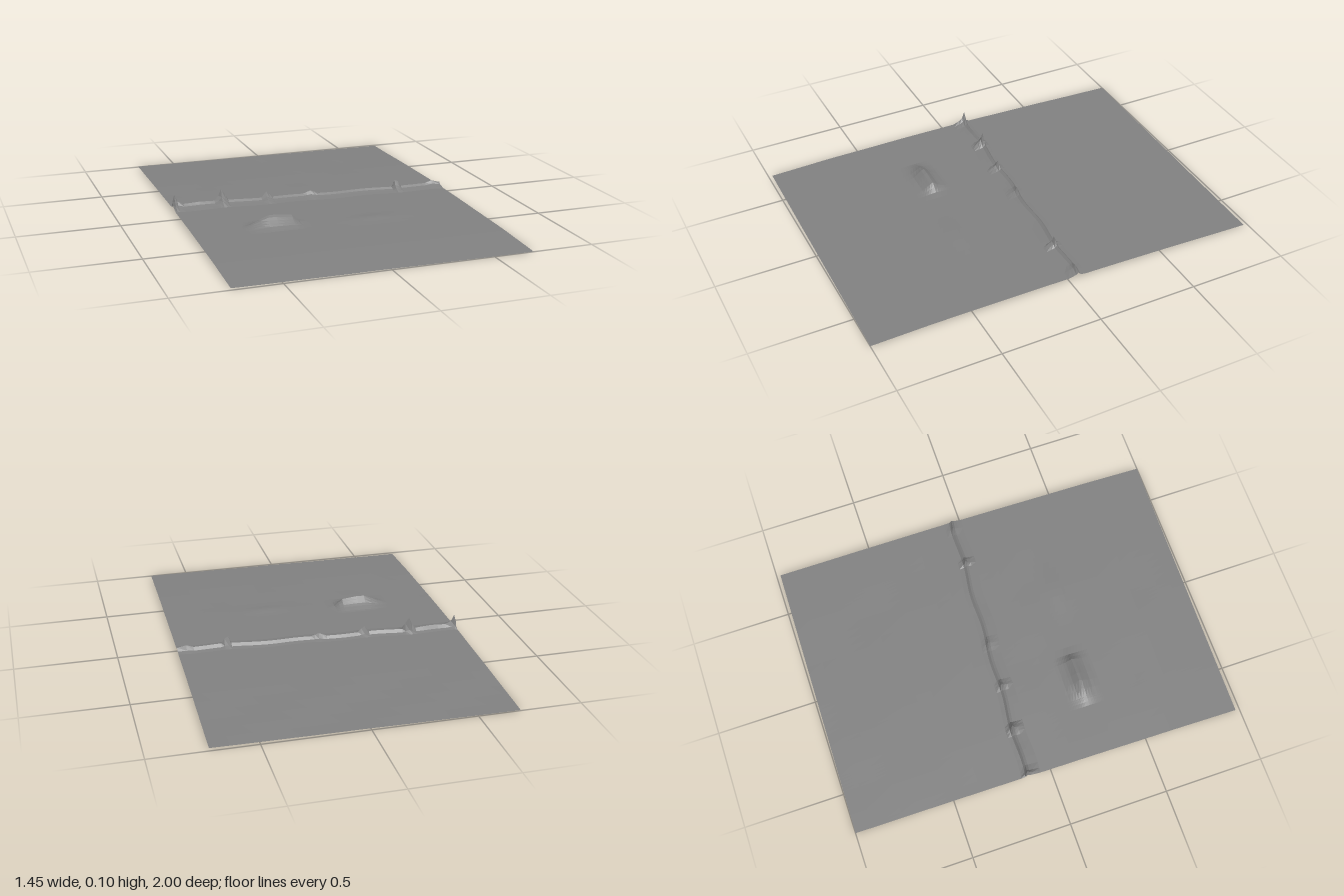
import * as THREE from 'three';

// Piecewise-linear curve through [position, value] points
function lerpAt(points, t) {
  if (t <= points[0][0]) return points[0][1];
  for (let i = 1; i < points.length; i++) {
    const [x0, y0] = points[i - 1], [x1, y1] = points[i];
    if (t <= x1) return y0 + (y1 - y0) * (t - x0) / (x1 - x0);
  }
  return points[points.length - 1][1];
}

// Gentle crown of the whole sheet, from back to front
const crown = [[-1, 0.007], [-0.5, 0.02], [-0.1, 0.026], [0, 0.025], [0.3, 0.023], [0.7, 0.017], [1, 0.005]];
// Height of the ridge crest from side to side, with its spikes
const crest = [[-0.715, 0.06], [-0.705, 0.097], [-0.69, 0.062], [-0.66, 0.046], [-0.58, 0.05], [-0.5, 0.046],
  [-0.48, 0.07], [-0.465, 0.105], [-0.445, 0.075], [-0.43, 0.045], [-0.26, 0.044], [-0.235, 0.075], [-0.2, 0.044],
  [-0.04, 0.043], [0, 0.058], [0.04, 0.043], [0.44, 0.043], [0.455, 0.079], [0.475, 0.07], [0.49, 0.045],
  [0.63, 0.044], [0.665, 0.056], [0.71, 0.045]];
// Share of the crest height across the ridge
const ridgeSection = [[-0.035, 0], [-0.012, 0.2], [0, 1], [0.012, 0.5], [0.03, 0.28], [0.06, 0]];
// Mound outline, lengthways and across
const moundCrest = [[-0.46, 0], [-0.41, 0.02], [-0.35, 0.052], [-0.3, 0.052], [-0.22, 0.042], [-0.18, 0.005], [-0.15, 0]];
const moundSection = [[0.205, 0], [0.25, 0.35], [0.285, 1], [0.31, 0.62], [0.34, 0.2], [0.38, 0]];
const RIDGE = -0.083;

function height(x, z, s) {
  const ridge = (lerpAt(crest, x) - 0.026) * lerpAt(ridgeSection, s - RIDGE);
  const mound = lerpAt(moundCrest, x) * lerpAt(moundSection, z);
  const swell = 0.006 * Math.exp(-(((x - 0.18) / 0.12) ** 2) - ((z - 0.34) / 0.05) ** 2);
  const ripple = 0.0006 * Math.sin(x * 13 + z * 5) * Math.sin(z * 11 - x * 4);
  return lerpAt(crown, s) + ridge + mound + swell + ripple;
}

export function createModel() {
  const group = new THREE.Group();
  group.name = 'terrain';
  const ground = new THREE.MeshStandardMaterial({ color: 0x808080, side: THREE.DoubleSide, flatShading: true });
  ground.name = 'ground grey';

  // Rows from back to front, closer together at the ridge and the mound
  const rows = [];
  for (let s = -0.99; s < -0.15; s += 0.08) rows.push(s);
  for (const [offset] of ridgeSection) rows.push(RIDGE + offset);
  for (let s = 0.04; s < 0.19; s += 0.05) rows.push(s);
  for (let s = 0.2; s < 0.4; s += 0.0145) rows.push(s);
  for (let s = 0.43; s < 0.98; s += 0.07) rows.push(s);
  rows.push(0.99);

  // Columns follow an even grid plus every crest point
  const columns = crest.map(p => p[0]);
  for (let x = -0.66; x < 0.7; x += 0.04) {
    if (columns.every(c => Math.abs(c - x) > 0.008)) columns.push(x);
  }
  columns.sort((a, b) => a - b);

  const positions = [], indices = [];
  const n = columns.length;
  rows.forEach((s, r) => {
    // The ridge runs at a steeper slant than the sheet edges
    const slant = -0.014 * -1 + 0.043 * Math.max(0, 1 - Math.abs(s - RIDGE) / 0.3);
    columns.forEach((c, i) => {
      const x = c - 0.012 * s;
      const wobble = Math.abs(s - RIDGE) < 0.07 ? 0.006 * Math.sin(c * 17) : 0;
      const z = s + slant * c + wobble;
      positions.push(x, height(c, z, s), z);
      if (r < rows.length - 1 && i < n - 1) {
        const a = r * n + i, b = a + n;
        indices.push(a, b, b + 1, a, b + 1, a + 1);
      }
    });
  });

  const geometry = new THREE.BufferGeometry();
  geometry.setAttribute('position', new THREE.Float32BufferAttribute(positions, 3));
  geometry.setIndex(indices);
  geometry.computeVertexNormals();
  const sheet = new THREE.Mesh(geometry, ground);
  sheet.name = 'groundSheet';
  group.add(sheet);
  return group;
}
